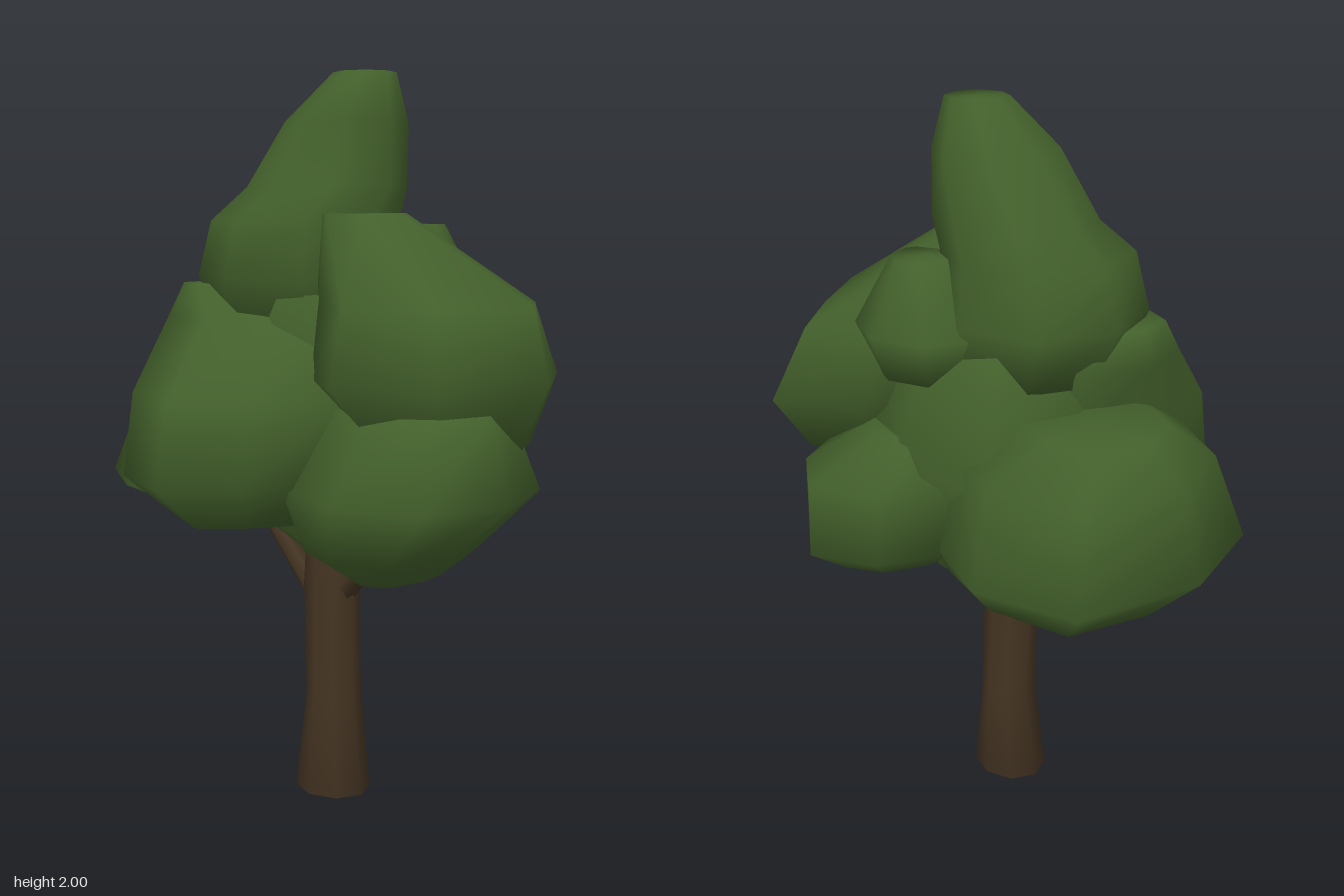
import * as THREE from 'three';

const leaf = new THREE.MeshStandardMaterial({ color: 0x43602b });
leaf.name = 'leafGreen';
const bark = new THREE.MeshStandardMaterial({ color: 0x443422 });
bark.name = 'barkBrown';

// Smooth eight-sided solid through rings listed top to bottom: [y, xMin, xMax, zMin, zMax].
// corners sets the fullness of the four diagonals: +x+z, -x+z, -x-z, +x-z
function loft(rings, corners = [1, 1, 1, 1]) {
  const N = 8, pos = [], idx = [];
  for (const [y, x0, x1, z0, z1] of rings) {
    for (let j = 0; j < N; j++) {
      const a = (j / N) * Math.PI * 2;
      const k = (j % 2 ? corners[(j - 1) / 2] : 1) / 2;
      pos.push((x0 + x1) / 2 + Math.cos(a) * (x1 - x0) * k, y, (z0 + z1) / 2 + Math.sin(a) * (z1 - z0) * k);
    }
  }
  const last = rings.length - 1;
  for (const i of [0, last]) {
    const [y, x0, x1, z0, z1] = rings[i];
    pos.push((x0 + x1) / 2, y, (z0 + z1) / 2);
  }
  const top = rings.length * N, bottom = top + 1;
  for (let j = 0; j < N; j++) {
    const n = (j + 1) % N;
    idx.push(top, n, j, bottom, last * N + j, last * N + n);
    for (let i = 0; i < last; i++) {
      const a = i * N + j, c = i * N + n;
      idx.push(a, c, c + N, a, c + N, a + N);
    }
  }
  const g = new THREE.BufferGeometry();
  g.setAttribute('position', new THREE.Float32BufferAttribute(pos, 3));
  g.setIndex(idx);
  g.computeVertexNormals();
  return g;
}

function addMesh(parent, name, geometry, material) {
  const m = new THREE.Mesh(geometry, material);
  m.name = name;
  parent.add(m);
  return m;
}

// Tapered limb between two points
function addBranch(parent, name, from, to) {
  const a = new THREE.Vector3(...from), b = new THREE.Vector3(...to);
  const dir = b.clone().sub(a);
  const m = addMesh(parent, name, new THREE.CylinderGeometry(0.022, 0.036, dir.length(), 6), bark);
  m.position.copy(a).add(b).multiplyScalar(0.5);
  m.quaternion.setFromUnitVectors(new THREE.Vector3(0, 1, 0), dir.normalize());
}

export function createModel() {
  const tree = new THREE.Group();
  tree.name = 'tree';

  // Trunk flares at the foot and runs up into the leaves
  addMesh(tree, 'trunk', loft([
    [0.8, -0.07, 0.08, -0.05, 0.07], [0.6, -0.075, 0.09, -0.06, 0.085],
    [0.28, -0.065, 0.08, -0.08, 0.085], [0, -0.1, 0.125, -0.085, 0.11]]), bark);

  // Limbs holding the lower clumps
  const limbs = new THREE.Group();
  limbs.name = 'branches';
  tree.add(limbs);
  addBranch(limbs, 'outerBranch', [-0.03, 0.54, 0.01], [-0.28, 0.84, 0.04]);
  addBranch(limbs, 'sideBranch', [0.05, 0.58, 0.01], [0.27, 0.8, 0.03]);
  addBranch(limbs, 'backBranch', [0.02, 0.58, -0.02], [0.06, 0.82, -0.17]);

  // Foliage: overlapping leaf clumps
  const foliage = new THREE.Group();
  foliage.name = 'foliage';
  tree.add(foliage);
  const addClump = (name, rings, corners) => addMesh(foliage, name, loft(rings, corners), leaf);

  addClump('crownClump', [
    [2.0, 0, 0.17, -0.12, 0.05], [1.87, -0.11, 0.205, -0.18, 0.17], [1.7, -0.26, 0.205, -0.21, 0.2],
    [1.61, -0.31, 0.2, -0.21, 0.31], [1.46, -0.37, 0.2, -0.25, 0.32], [1.3, -0.3, 0.16, -0.22, 0.26]]);
  addClump('upperSideClump', [
    [1.63, 0.06, 0.3, -0.1, 0.21], [1.4, 0.05, 0.65, -0.42, 0.33],
    [1.21, 0.06, 0.69, -0.52, 0.4], [1.03, 0.22, 0.6, -0.38, 0.24]], [1, 0.95, 1, 0.74]);
  addClump('upperBackClump', [
    [1.6, 0.05, 0.22, -0.27, -0.08], [1.43, -0.12, 0.29, -0.4, 0], [1.3, -0.06, 0.25, -0.34, -0.05]]);
  addClump('frontClump', [
    [1.44, -0.36, -0.14, 0.02, 0.28], [1.35, -0.4, 0.15, -0.1, 0.36], [1.16, -0.34, 0.28, -0.1, 0.57],
    [0.94, -0.33, 0.26, -0.05, 0.61], [0.81, -0.22, 0.1, 0, 0.45]], [0.78, 1.08, 1, 1]);
  addClump('outerClump', [
    [1.24, -0.56, -0.2, -0.22, 0.15], [1.14, -0.67, 0, -0.38, 0.32], [0.89, -0.705, 0, -0.44, 0.45],
    [0.78, -0.59, 0, -0.34, 0.22]], [1, 0.96, 1.13, 1.1]);
  addClump('backClump', [
    [1.17, -0.06, 0.22, -0.4, -0.1], [1.07, -0.15, 0.36, -0.6, -0.06],
    [0.87, -0.13, 0.36, -0.6, -0.06], [0.78, 0, 0.27, -0.47, -0.12]], [1, 1, 0.95, 0.88]);
  addClump('lowerSideClump', [
    [1.14, 0.18, 0.62, -0.12, 0.3], [0.93, 0.08, 0.705, -0.2, 0.42],
    [0.77, 0.14, 0.53, -0.12, 0.36], [0.69, 0.24, 0.42, -0.05, 0.24]], [1.1, 1.08, 1.1, 1.05]);
  addClump('coreClump', [
    [1.42, -0.22, 0.3, -0.24, 0.25], [1.1, -0.36, 0.36, -0.41, 0.3],
    [0.77, -0.22, 0.22, -0.26, 0.17], [0.65, -0.05, 0.08, -0.12, 0.03]], [1, 1, 1.12, 1.12]);

  return tree;
}
